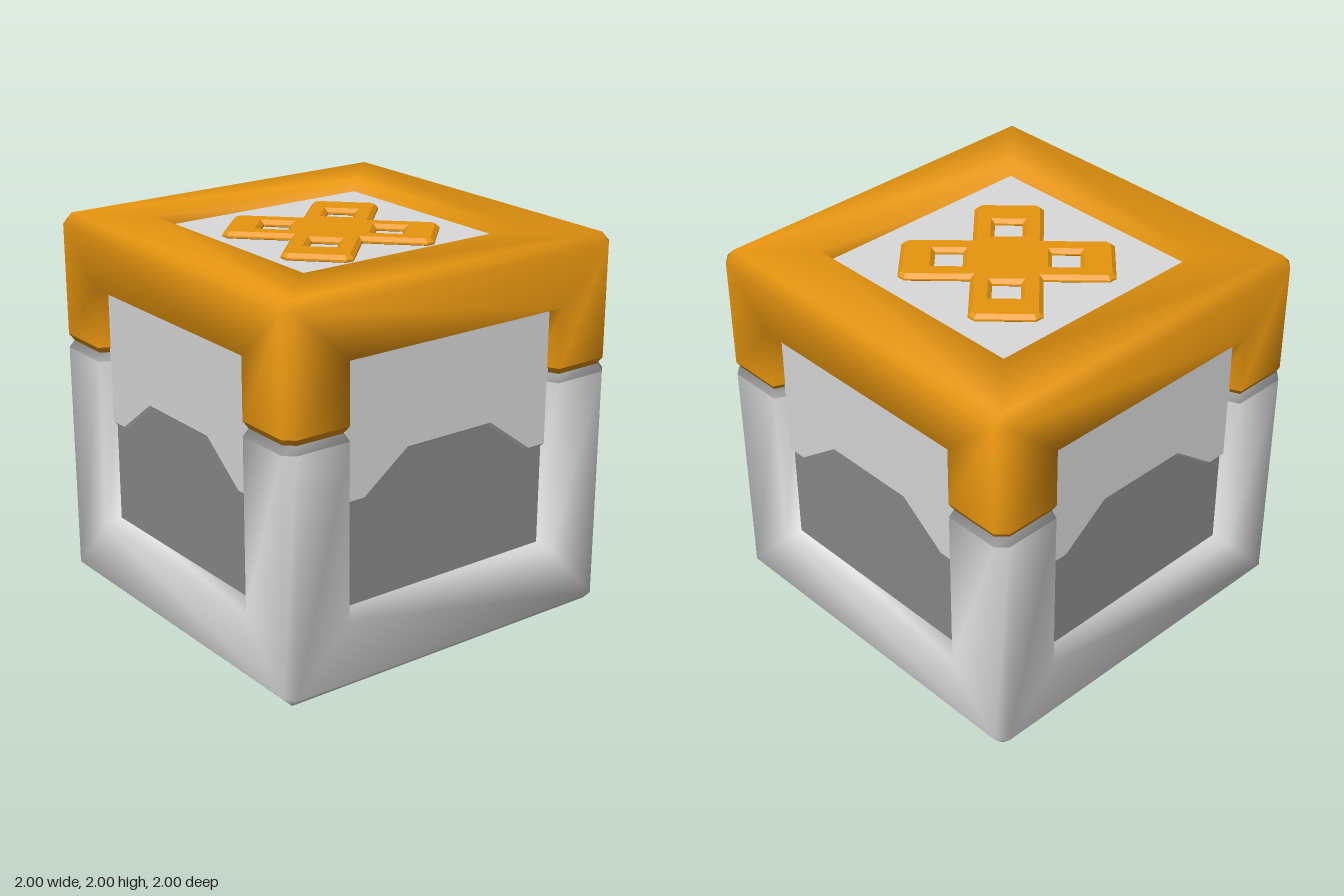
import * as THREE from 'three';

const mat = (name, color, side = THREE.FrontSide) => {
  const m = new THREE.MeshStandardMaterial({ color, side });
  m.name = name;
  return m;
};

// Triangle soup with normals averaged equally over all faces meeting at a point
function smoothGeometry(tris) {
  const sums = new Map();
  const key = (p) => p.toArray().map((v) => Math.round(v * 1000)).join();
  for (const t of tris) {
    const n = new THREE.Triangle(...t).getNormal(new THREE.Vector3());
    for (const p of t) {
      if (!sums.has(key(p))) sums.set(key(p), new THREE.Vector3());
      sums.get(key(p)).add(n);
    }
  }
  const pos = [], nor = [];
  for (const p of tris.flat()) {
    pos.push(...p.toArray());
    nor.push(...sums.get(key(p)).clone().normalize().toArray());
  }
  const g = new THREE.BufferGeometry();
  g.setAttribute('position', new THREE.Float32BufferAttribute(pos, 3));
  g.setAttribute('normal', new THREE.Float32BufferAttribute(nor, 3));
  return g;
}

// Quads between two rows of points
function loft(a, b) {
  const tris = [];
  for (let i = 0; i < a.length - 1; i++) {
    tris.push([a[i], a[i + 1], b[i + 1]], [a[i], b[i + 1], b[i]]);
  }
  return tris;
}

export function createModel() {
  const group = new THREE.Group();
  const white = mat('frame white', 0xdadada);
  const orange = mat('orange', 0xe8960f);
  const grey = mat('dark grey', 0x8a8a8a);
  const add = (name, geometry, material, parent = group) => {
    const m = new THREE.Mesh(geometry, material);
    m.name = name;
    parent.add(m);
    return m;
  };
  const V = (x, y, z) => new THREE.Vector3(x, y, z);

  // Bar cross-section: inner wall, face, chamfer, face, inner wall
  const bar = [[0.605, 0.9], [0.65, 1], [0.95, 1], [1, 0.95], [1, 0.65], [0.9, 0.605]];
  const reach = bar.map(([a, b]) => Math.min(a, b)); // mitre line of each point
  const lift = (r) => (r < 0.9 ? 0.025 : 0); // side openings sit slightly high
  const topY = reach.map((r) => 1 + r + lift(r));
  const lowY = reach.map((r) => 1 - r + lift(r));

  // Post rows; an inset pulls the section toward the post axis
  const postRow = (y, inset = 0) => bar.map(([x, z], i) => {
    const pull = (v) => v - Math.sign(v - 0.8) * inset;
    return V(pull(x), Array.isArray(y) ? y[i] : y, pull(z));
  });
  const beamRow = (s, top) => bar.map(([h, z], i) => {
    const y = i < 3 ? (top ? topY[i] : lowY[i]) : (top ? 1 + h : 1 - h);
    return V(s * reach[i], y, z);
  });

  const soups = { lowerFrame: [], seamLower: [], seamUpper: [], upperFrame: [] };
  const axis = V(0, 1, 0);
  for (let k = 0; k < 4; k++) {
    const put = (part, tris) => {
      for (const t of tris) {
        soups[part].push(t.map((p) => p.clone().applyAxisAngle(axis, k * Math.PI / 2)));
      }
    };
    // Corner post, with the seam groove between the halves
    put('lowerFrame', loft(postRow(lowY), postRow(1.285)));
    put('seamLower', loft(postRow(1.285), postRow(1.325, 0.02)));
    put('seamUpper', loft(postRow(1.325, 0.02), postRow(1.36)));
    put('upperFrame', loft(postRow(1.36), postRow(topY)));
    // Top and bottom beams
    put('upperFrame', loft(beamRow(1, true), beamRow(-1, true)));
    put('lowerFrame', loft(beamRow(-1, false), beamRow(1, false)));
    // Chamfered cube corners
    put('upperFrame', [[V(0.95, 1.95, 1), V(1, 1.95, 0.95), V(0.95, 2, 0.95)]]);
    put('lowerFrame', [[V(0.95, 0.05, 1), V(0.95, 0, 0.95), V(1, 0.05, 0.95)]]);
  }
  add('lowerFrame', smoothGeometry(soups.lowerFrame), white);
  add('seamLower', smoothGeometry(soups.seamLower), grey);
  add('seamUpper', smoothGeometry(soups.seamUpper), orange);
  add('upperFrame', smoothGeometry(soups.upperFrame), orange);

  // Recessed core, seen through the lower openings and underneath
  add('core', new THREE.BoxGeometry(1.85, 1.85, 1.85), grey).position.y = 1;

  // Light upper panels with a stepped lower edge
  const panelShape = new THREE.Shape([
    [-0.63, 0.955], [-0.52, 0.955], [-0.26, 1.15], [0.26, 1.15],
    [0.52, 0.955], [0.63, 0.955], [0.63, 1.66], [-0.63, 1.66],
  ].map((p) => new THREE.Vector2(...p)));
  const panelGeo = new THREE.ExtrudeGeometry(panelShape, {
    depth: 0.01, bevelSize: 0.015, bevelThickness: 0.015, bevelSegments: 1,
  });
  panelGeo.translate(0, 0, 0.917);
  for (let k = 0; k < 4; k++) add('sidePanel', panelGeo, white).rotation.y = k * Math.PI / 2;
  add('topPanel', new THREE.BoxGeometry(1.29, 0.03, 1.29), white).position.y = 1.927;

  // Raised diagonal cross with a square hole in each arm
  const w = 0.157, l = 0.51, c = 0.02, h = 0.09;
  const spin = (x, y, k) => new THREE.Vector2(x, y).rotateAround(new THREE.Vector2(), k * Math.PI / 2);
  const outline = [], holes = [];
  for (let k = 0; k < 4; k++) {
    outline.push(...[[w, -w], [l - c, -w], [l, c - w], [l, w - c], [l - c, w]].map(([x, y]) => spin(x, y, k)));
    holes.push(new THREE.Path([[-h, -h], [-h, h], [h, h], [h, -h]].map(([x, y]) => spin(0.288 + x, y, k))));
  }
  const crossShape = new THREE.Shape(outline);
  crossShape.holes = holes;
  const crossGeo = new THREE.ExtrudeGeometry(crossShape, {
    depth: 0.01, bevelSize: 0.02, bevelThickness: 0.02, bevelSegments: 1,
  });
  crossGeo.rotateZ(Math.PI / 4);
  const topCross = add('topCross', crossGeo, orange);
  topCross.rotation.x = -Math.PI / 2;
  topCross.position.y = 1.945;
  const bottomCross = add('bottomCross', crossGeo, orange);
  bottomCross.rotation.x = Math.PI / 2;
  bottomCross.position.y = 0.065;

  return group;
}
